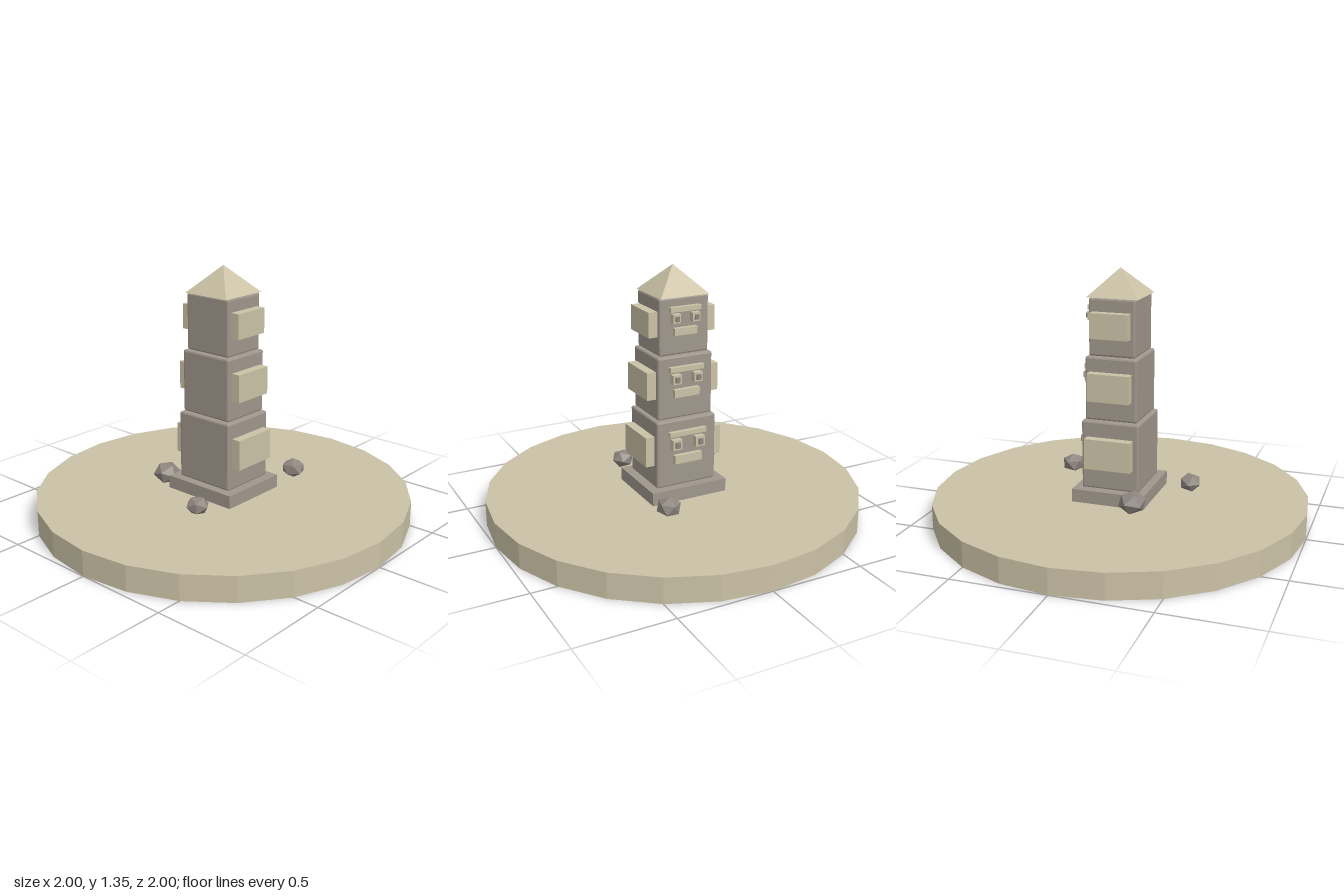
import * as THREE from 'three';
import { RoundedBoxGeometry } from 'three/addons/geometries/RoundedBoxGeometry.js';

function material(name, color) {
  const m = new THREE.MeshStandardMaterial({ color, flatShading: true });
  m.name = name;
  return m;
}

export function createModel() {
  const sand = material('sand', 0xcbc2a6);
  const stone = material('stone', 0xa0978c);
  const rockGrey = material('rock grey', 0x8f8680);

  const model = new THREE.Group();
  model.name = 'stoneTotem';

  function add(parent, name, geometry, mat, x, y, z) {
    const mesh = new THREE.Mesh(geometry, mat);
    mesh.name = name;
    mesh.position.set(x, y, z);
    parent.add(mesh);
    return mesh;
  }
  const box = (w, h, d) => new THREE.BoxGeometry(w, h, d);

  // Ground disc and plinth
  add(model, 'groundDisc', new THREE.CylinderGeometry(1, 1, 0.135, 24), sand, 0, 0.0675, 0);
  add(model, 'plinth', box(0.43, 0.07, 0.39), stone, 0, 0.17, 0);

  // Stacked blocks, each with side slabs and a face carved on the back
  const blocks = [
    { y: 0.388, w: 0.34, h: 0.365, d: 0.31 },
    { y: 0.74, w: 0.31, h: 0.332, d: 0.278 },
    { y: 1.057, w: 0.278, h: 0.298, d: 0.248 },
  ];
  blocks.forEach(({ y, w, h, d }, i) => {
    const block = new THREE.Group();
    block.name = 'block' + (i + 1);
    block.position.y = y;
    model.add(block);
    const back = -d / 2;

    // Bevelled body
    add(block, 'body', new RoundedBoxGeometry(w, h, d, 1, 0.01), stone, 0, 0, 0);

    // Brow and mouth bars
    add(block, 'brow', box(w * 0.62, 0.025, 0.024), sand, 0, h * 0.305, back - 0.012);
    add(block, 'mouth', box(w * 0.46, h * 0.125, 0.024), sand, 0, -h * 0.08, back - 0.012);

    for (const s of [-1, 1]) {
      add(block, 'sideSlab', box(0.05, h * 0.44, h * 0.68), sand, s * (w / 2 + 0.024), h * 0.05, 0);
      add(block, 'eye', box(w * 0.155, h * 0.15, 0.03), sand, s * w * 0.195, h * 0.15, back - 0.015);
      add(block, 'pupil', box(w * 0.075, h * 0.085, 0.012), rockGrey, s * w * 0.195, h * 0.15, back - 0.034);
    }
  });

  // Pyramid cap
  const cap = new THREE.ConeGeometry(0.137 * Math.SQRT2, 0.14, 4);
  cap.rotateY(Math.PI / 4);
  add(model, 'pyramidCap', cap, sand, 0, 1.276, 0);

  // Scattered flattened rocks: x, y, z, radius, turn
  const rocks = [
    [-0.27, 0.195, 0.155, 0.075, 0.3],
    [0.205, 0.197, -0.35, 0.066, 1.3],
    [0.135, 0.186, 0.35, 0.062, 2.2],
  ];
  for (const [x, y, z, r, turn] of rocks) {
    const geometry = new THREE.IcosahedronGeometry(r, 0);
    geometry.rotateX(turn * 0.7);
    geometry.rotateY(turn);
    geometry.scale(1, 0.8, 1);
    add(model, 'rock', geometry, rockGrey, x, y, z);
  }

  return model;
}
